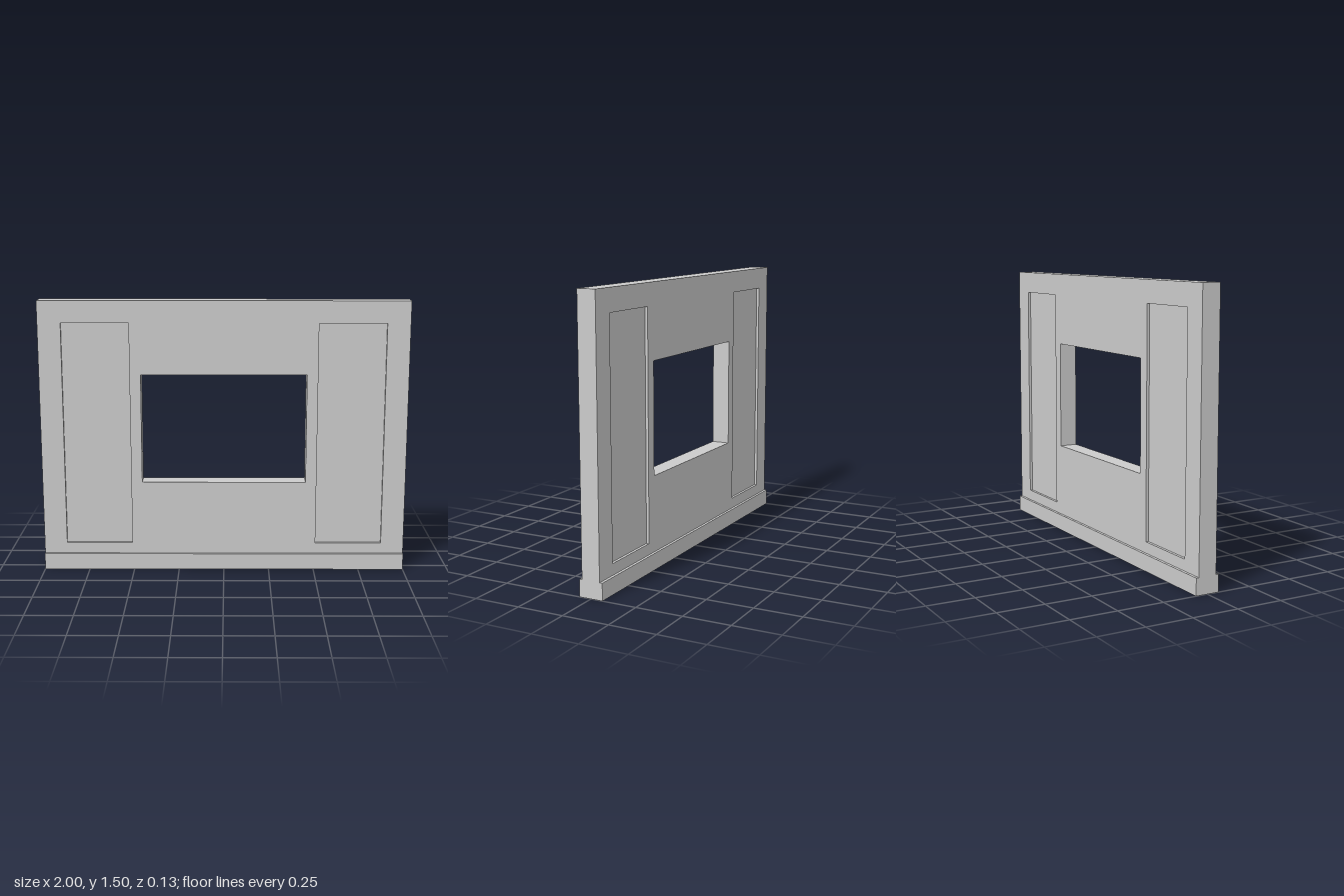
import * as THREE from 'three';

const WIDTH = 2, HEIGHT = 1.5, THICKNESS = 0.1;
const SKIRTING = { height: 0.09, depth: 0.13 };
const WINDOW = { x0: -0.45, x1: 0.45, y0: 0.5, y1: 1.1 };
const PANEL = { x0: 0.51, x1: 0.875, y0: 0.15, y1: 1.38, recess: 0.015 };

// Traces a rectangle into a Shape or a hole Path
function rect(path, x0, y0, x1, y1) {
  path.moveTo(x0, y0);
  path.lineTo(x1, y0);
  path.lineTo(x1, y1);
  path.lineTo(x0, y1);
  path.closePath();
  return path;
}

export function createModel() {
  const group = new THREE.Group();
  group.name = 'windowWall';
  const material = new THREE.MeshStandardMaterial({ color: 0xcccccc, flatShading: true });

  const add = (name, geometry, x = 0, y = 0, z = 0) => {
    const mesh = new THREE.Mesh(geometry, material);
    mesh.name = name;
    mesh.position.set(x, y, z);
    group.add(mesh);
  };

  // Wall slab, cut through for the window and the two side panels
  const outline = rect(new THREE.Shape(), -WIDTH / 2, SKIRTING.height, WIDTH / 2, HEIGHT);
  outline.holes.push(
    rect(new THREE.Path(), WINDOW.x0, WINDOW.y0, WINDOW.x1, WINDOW.y1),
    rect(new THREE.Path(), PANEL.x0, PANEL.y0, PANEL.x1, PANEL.y1),
    rect(new THREE.Path(), -PANEL.x1, PANEL.y0, -PANEL.x0, PANEL.y1),
  );
  const wall = new THREE.ExtrudeGeometry(outline, { depth: THICKNESS, bevelEnabled: false });
  add('wall', wall, 0, 0, -THICKNESS / 2);

  // Thinner panels fill the side openings, recessed on both faces
  const panel = new THREE.BoxGeometry(
    PANEL.x1 - PANEL.x0, PANEL.y1 - PANEL.y0, THICKNESS - 2 * PANEL.recess);
  for (const [name, side] of [['leftPanel', 1], ['rightPanel', -1]]) {
    add(name, panel, side * (PANEL.x0 + PANEL.x1) / 2, (PANEL.y0 + PANEL.y1) / 2);
  }

  // Skirting that stands proud of both faces
  add('skirting', new THREE.BoxGeometry(WIDTH, SKIRTING.height, SKIRTING.depth), 0, SKIRTING.height / 2);

  return group;
}
